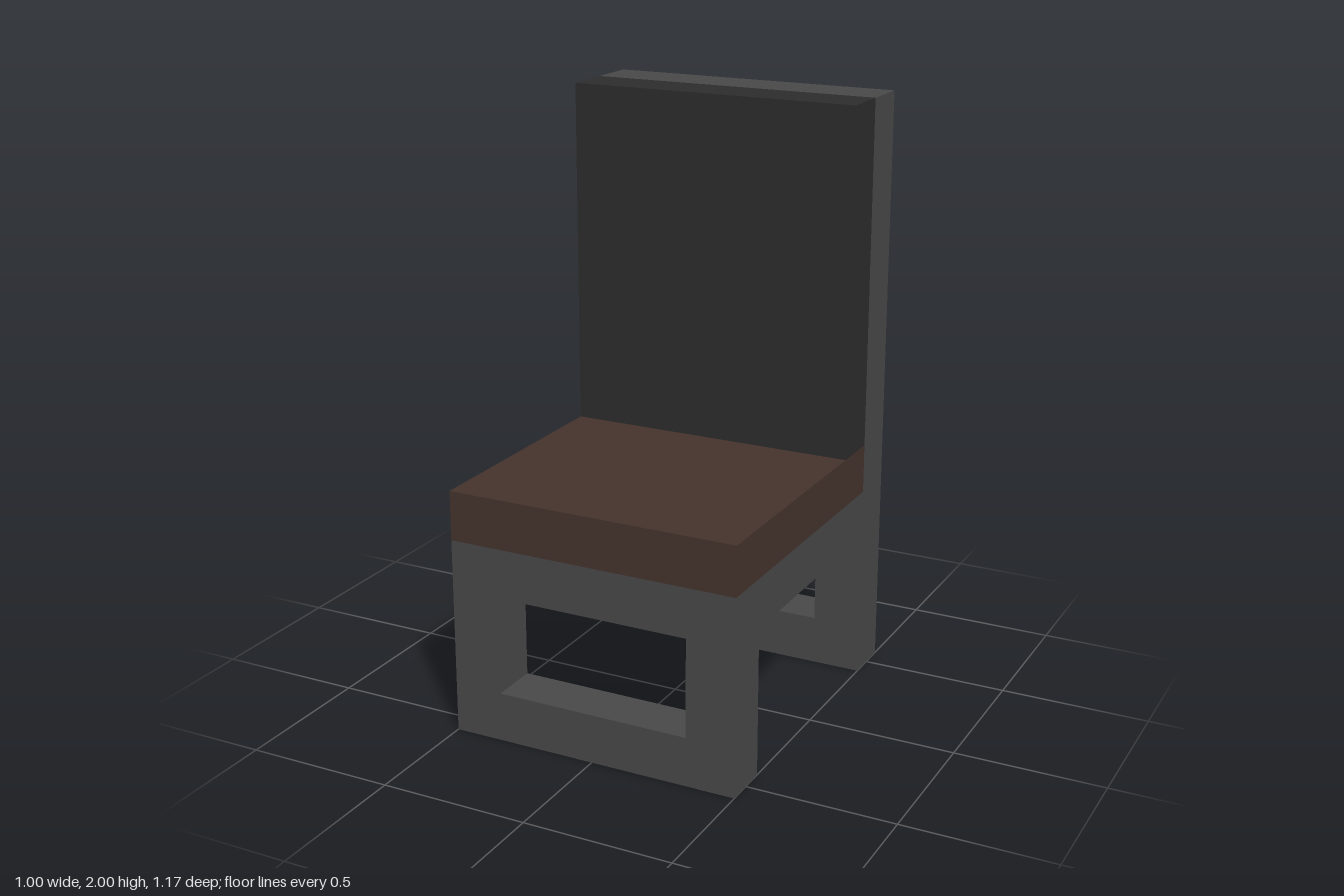
import * as THREE from 'three';

const U = 1 / 6; // every part sits on a grid of this step

export function createModel() {
  const material = (name, color) => {
    const m = new THREE.MeshStandardMaterial({ color });
    m.name = name;
    return m;
  };
  const frameGrey = material('frame grey', 0x4a4a4a);
  const backrestBlack = material('backrest black', 0x2d2d2d);
  const seatBrown = material('seat brown', 0x46342d);

  const chair = new THREE.Group();
  chair.name = 'chair';

  const add = (name, geometry, mat) => {
    const mesh = new THREE.Mesh(geometry, mat);
    mesh.name = name;
    chair.add(mesh);
  };

  // Full-width block spanning y0..y1 and z0..z1, in grid steps
  const block = (name, mat, y0, y1, z0, z1) => {
    const g = new THREE.BoxGeometry(6 * U, (y1 - y0) * U, (z1 - z0) * U);
    g.translate(0, ((y0 + y1) / 2) * U, ((z0 + z1) / 2) * U);
    add(name, g, mat);
  };

  const rectangle = (path, x, y0, y1) => {
    path.moveTo(-x * U, y0 * U);
    path.lineTo(x * U, y0 * U);
    path.lineTo(x * U, y1 * U);
    path.lineTo(-x * U, y1 * U);
    path.closePath();
    return path;
  };

  // Upright panel one step thick, with openings given as [y0, y1]
  const panel = (name, height, z, openings) => {
    const shape = rectangle(new THREE.Shape(), 3, 0, height);
    for (const [y0, y1] of openings) shape.holes.push(rectangle(new THREE.Path(), 2, y0, y1));
    const g = new THREE.ExtrudeGeometry(shape, { depth: U, bevelEnabled: false });
    g.translate(0, 0, z * U);
    add(name, g, frameGrey);
  };

  // Frame
  panel('frontLegs', 4, 2.5, [[1, 3]]);
  panel('backFrame', 12, -3.5, [[1, 3], [4, 5]]);
  block('seatBase', frameGrey, 3, 4, -2.5, 2.5);

  // Cushions
  block('seatCushion', seatBrown, 4, 5, -2.5, 3.5);
  block('backCushion', backrestBlack, 5, 12, -2.5, -1.5);

  return chair;
}
